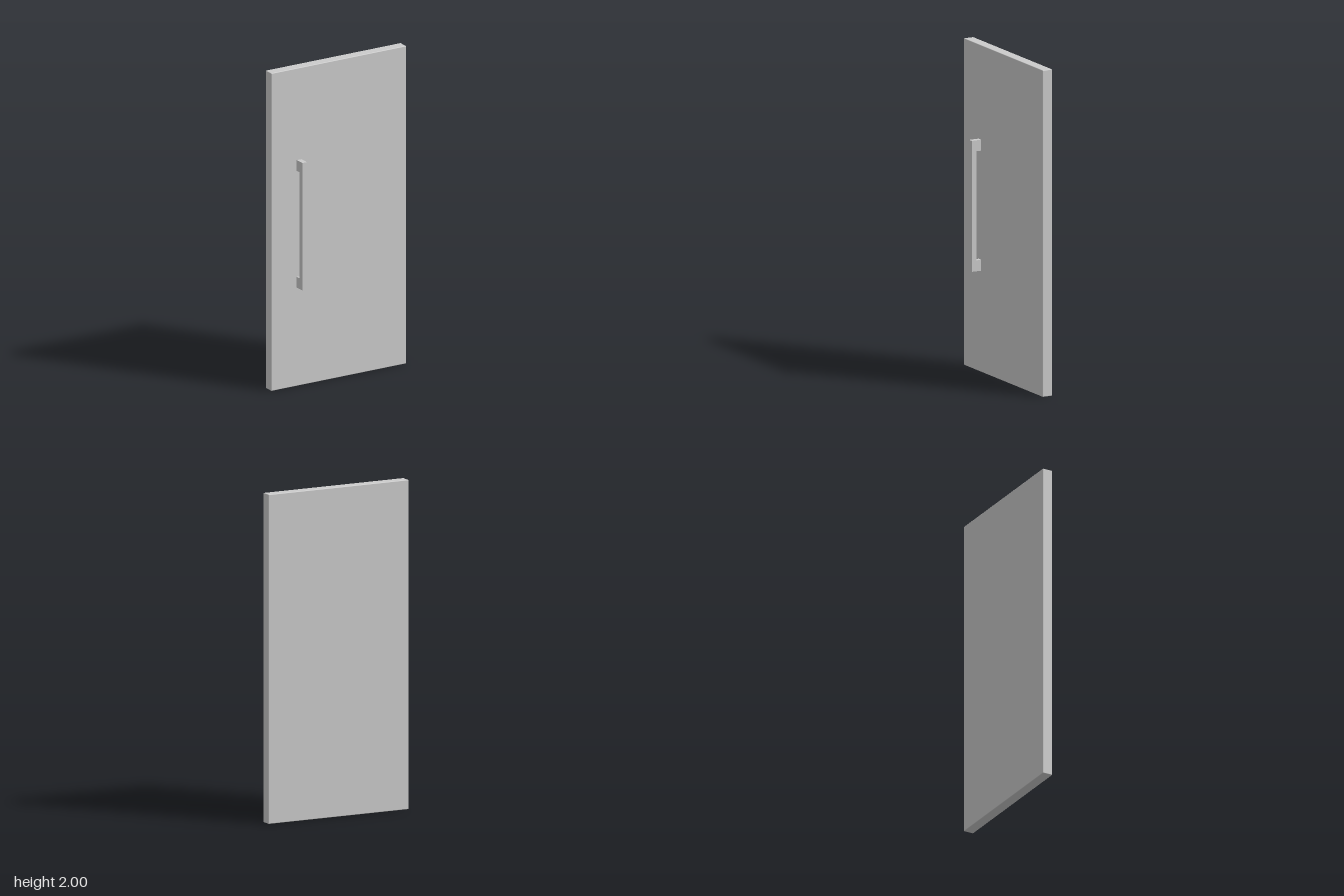
import * as THREE from 'three';
import { RoundedBoxGeometry } from 'three/addons/geometries/RoundedBoxGeometry.js';

export function createModel() {
  const group = new THREE.Group();
  const material = new THREE.MeshStandardMaterial({ color: 0xcccccc });

  const add = (parent, name, geometry, x, y, z) => {
    const mesh = new THREE.Mesh(geometry, material);
    mesh.name = name;
    mesh.position.set(x, y, z);
    parent.add(mesh);
  };

  // Door slab with finely eased edges
  add(group, 'doorPanel', new RoundedBoxGeometry(0.95, 2, 0.065, 2, 0.004), 0, 1, -0.0325);

  // Pull handle: a square bar on two stand-offs
  const handle = new THREE.Group();
  handle.name = 'handle';
  handle.position.set(-0.281, 1.021, 0);
  group.add(handle);

  const width = 0.032, height = 0.802, depth = 0.032, mountHeight = 0.067;
  add(handle, 'handleBar', new THREE.BoxGeometry(width, height, depth), 0, 0, depth * 1.5);
  for (const [name, side] of [['upperMount', 1], ['lowerMount', -1]]) {
    add(handle, name, new THREE.BoxGeometry(width, mountHeight, depth),
      0, side * (height - mountHeight) / 2, depth / 2);
  }

  return group;
}
